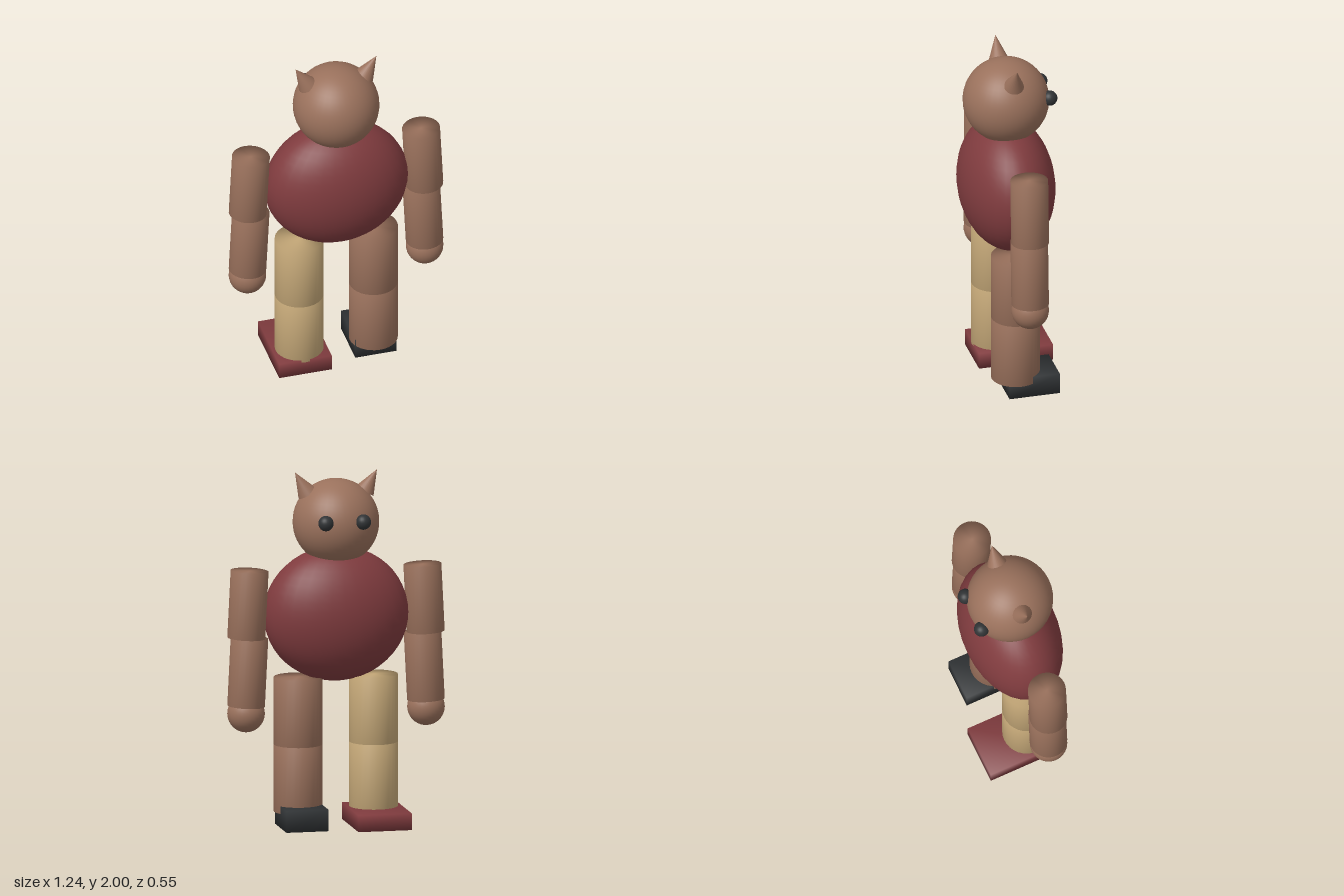
import * as THREE from 'three';
import { mergeVertices } from 'three/addons/utils/BufferGeometryUtils.js';

// Welds all corners so shading runs smoothly over the edges
function weld(geometry) {
  geometry.deleteAttribute('normal');
  geometry.deleteAttribute('uv');
  const welded = mergeVertices(geometry, 1e-4);
  welded.computeVertexNormals();
  return welded;
}

export function createModel() {
  const material = (name, color) => new THREE.MeshStandardMaterial({ name, color });
  const brown = material('brown fur', 0x9a715c);
  const red = material('dark red', 0x7f3b3e);
  const tan = material('tan', 0xc5a878);
  const black = material('charcoal', 0x303335);

  const model = new THREE.Group();
  model.name = 'bear';
  const Z = 0.012; // common depth of the body axis

  function add(name, geometry, mat, x, y, z, tilt = 0) {
    const mesh = new THREE.Mesh(geometry, mat);
    mesh.name = name;
    mesh.position.set(x, y, z);
    mesh.rotation.z = tilt;
    model.add(mesh);
    return mesh;
  }

  // Torso and head
  const torso = add('torso', new THREE.SphereGeometry(1, 32, 24), red, 0, 1.194, Z);
  torso.scale.set(0.41, 0.38, 0.265);
  add('head', new THREE.SphereGeometry(0.242, 40, 28), brown, 0, 1.714, Z);

  const ear = new THREE.ConeGeometry(0.057, 0.14, 24);
  const eye = new THREE.SphereGeometry(0.043, 24, 16);
  const upperArm = weld(new THREE.CylinderGeometry(0.106, 0.106, 0.38, 32));
  const lowerArm = weld(new THREE.CylinderGeometry(0.105, 0.105, 0.385, 32));
  const hand = new THREE.SphereGeometry(0.105, 28, 20);
  const legPart = weld(new THREE.CylinderGeometry(0.137, 0.137, 0.38, 32));

  for (const [side, s] of [['left', 1], ['right', -1]]) {
    // Ears and eyes
    add(side + 'Ear', ear, brown, s * 0.199, 1.94, 0.01, -s * 0.53);
    add(side + 'Eye', eye, black, s * 0.107, 1.745, -0.212);

    // Arms, leaning slightly outward towards the hands
    add(side + 'UpperArm', upperArm, brown, s * 0.503, 1.263, 0.01, s * 0.05);
    add(side + 'LowerArm', lowerArm, brown, s * 0.504, 0.88, 0.01, s * 0.05);
    add(side + 'Hand', hand, brown, s * 0.514, 0.645, 0.01);

    // Legs in two stacked segments, a different colour on each side
    const legMaterial = s > 0 ? brown : tan;
    add(side + 'Thigh', legPart, legMaterial, s * 0.215, 0.65, 0.015);
    add(side + 'Shin', legPart, legMaterial, s * 0.215, 0.27, 0.015);
  }

  // Mismatched shoes pointing towards the face
  add('leftShoe', weld(new THREE.BoxGeometry(0.24, 0.122, 0.29)), black, 0.212, 0.061, -0.065);
  add('rightShoe', weld(new THREE.BoxGeometry(0.305, 0.094, 0.427)), red, -0.217, 0.047, -0.064);

  return model;
}
